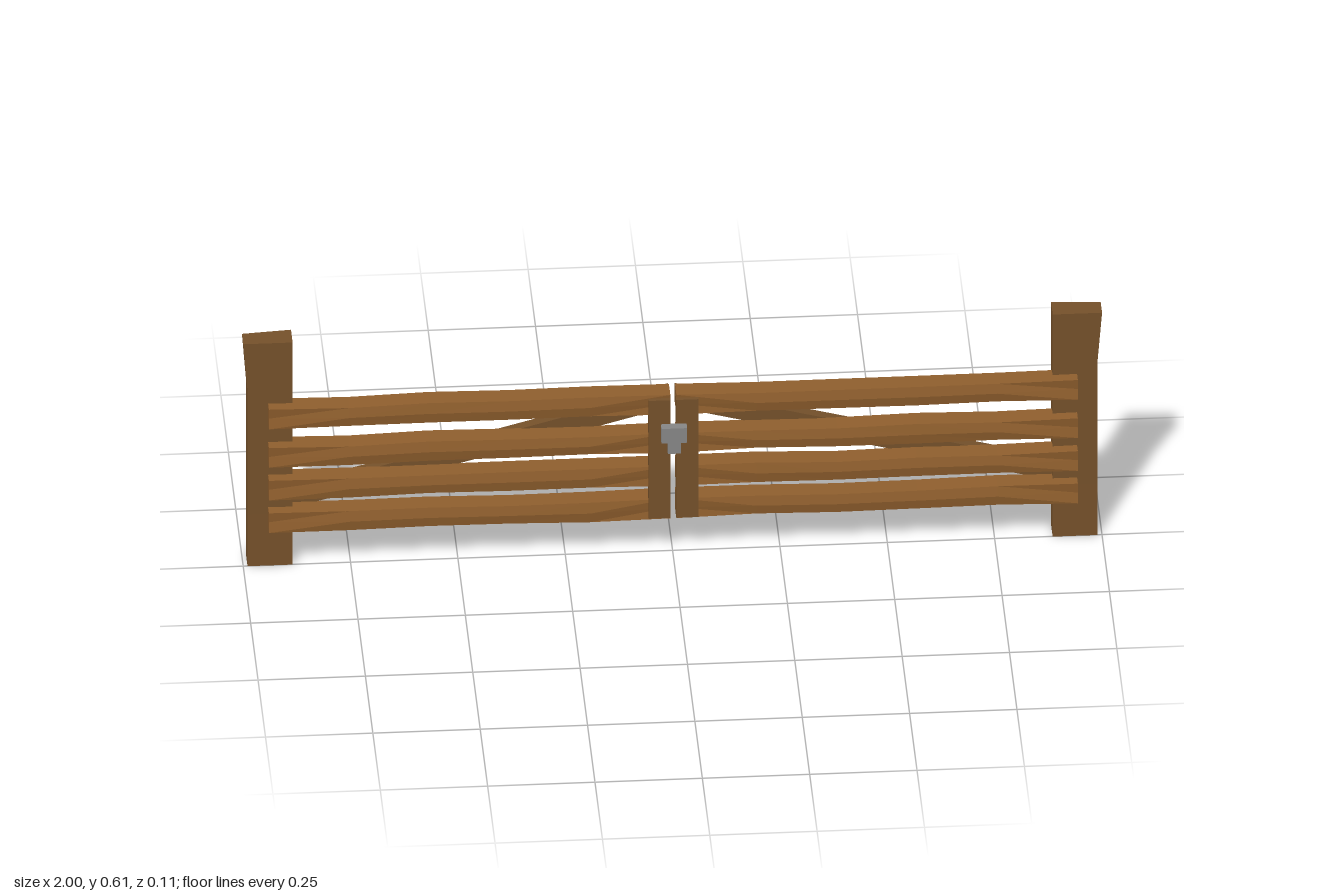
import * as THREE from 'three';

const darkWood = new THREE.MeshStandardMaterial({ color: 0x74502a, flatShading: true });
const lightWood = new THREE.MeshStandardMaterial({ color: 0x8e5e2d, flatShading: true });
const metal = new THREE.MeshStandardMaterial({ color: 0x858585, flatShading: true });

// Small seeded generator in -1..1 for hand-hewn irregularity
let seed = 7;
const wobble = () => {
  seed = (seed * 16807) % 2147483647;
  return (seed / 2147483647) * 2 - 1;
};

// Solid through equal-length rings of [x, y, z], with capped ends
function loft(name, rings, material) {
  const tris = [];
  const n = rings[0].length;
  for (let s = 0; s < rings.length - 1; s++) {
    for (let i = 0; i < n; i++) {
      const j = (i + 1) % n;
      const [a, b, c, d] = [rings[s][i], rings[s][j], rings[s + 1][j], rings[s + 1][i]];
      tris.push([a, b, c], [a, c, d]);
    }
  }
  const centre = ring => [0, 1, 2].map(k => ring.reduce((sum, p) => sum + p[k], 0) / n);
  const first = rings[0], last = rings[rings.length - 1];
  const c0 = centre(first), c1 = centre(last);
  for (let i = 0; i < n; i++) {
    const j = (i + 1) % n;
    tris.push([c0, first[j], first[i]], [c1, last[i], last[j]]);
  }
  // Turn the faces outwards whichever way the rings run
  const vec = p => new THREE.Vector3(...p);
  const volume = tris.reduce((v, [a, b, c]) => v + vec(a).dot(vec(b).cross(vec(c))), 0);
  if (volume < 0) tris.forEach(t => t.reverse());
  const geometry = new THREE.BufferGeometry();
  geometry.setAttribute('position', new THREE.Float32BufferAttribute(tris.flat(2), 3));
  geometry.computeVertexNormals();
  const mesh = new THREE.Mesh(geometry, material);
  mesh.name = name;
  return mesh;
}

function box(name, x0, x1, y0, y1, z0, z1, material) {
  const mesh = new THREE.Mesh(new THREE.BoxGeometry(x1 - x0, y1 - y0, z1 - z0), material);
  mesh.position.set((x0 + x1) / 2, (y0 + y1) / 2, (z0 + z1) / 2);
  mesh.name = name;
  return mesh;
}

// Post: y, outer x, front z, outer back z, inner back z
function post(side) {
  const levels = [
    [0, 0.99, 0.001, -0.056, -0.054],
    [0.14, 0.99, 0, -0.05, -0.05],
    [0.48, 0.99, 0, -0.05, -0.05],
    [0.61, 1.0, 0.003, -0.043, -0.053],
  ];
  const rings = levels.map(([y, x, front, outerBack, innerBack]) => [
    [side * 0.885, y, front], [side * x, y, front],
    [side * x, y, outerBack], [side * 0.885, y, innerBack],
  ]);
  return loft('post', rings, darkWood);
}

// Rail: uneven beam, hollowed at its ends and ridged in its middle
function rail(side, y) {
  const rings = [];
  const steps = 5;
  for (let i = 0; i <= steps; i++) {
    const t = i / steps;
    const x = side * (0.007 + t * 0.935);
    const end = i === 0 || i === steps;
    const lift = end ? 0 : wobble() * 0.003;
    const half = end ? 0.027 : 0.025 + wobble() * 0.002;
    const ridge = end ? -0.004 : 0.005;
    rings.push([
      [x, y + lift + half, 0.027], [x, y + lift, 0.027 + ridge], [x, y + lift - half, 0.027],
      [x, y + lift - half, -0.022], [x, y + lift, -0.022 - ridge * 0.5], [x, y + lift + half, -0.022],
    ]);
  }
  return loft('rail', rings, lightWood);
}

// Diagonal brace with upright cut ends
function brace(side) {
  const ring = (x, y) => [
    [side * x, y + 0.025, -0.02], [side * x, y - 0.025, -0.02],
    [side * x, y - 0.025, -0.046], [side * x, y + 0.025, -0.046],
  ];
  return loft('brace', [ring(0.008, 0.405), ring(0.9, 0.163)], darkWood);
}

export function createModel() {
  const model = new THREE.Group();
  model.name = 'gate';
  for (const side of [-1, 1]) {
    model.add(post(side));
    const leaf = new THREE.Group();
    leaf.name = side > 0 ? 'leftLeaf' : 'rightLeaf';
    for (const y of [0.132, 0.221, 0.311, 0.416]) leaf.add(rail(side, y));
    leaf.add(brace(side));
    const [x0, x1] = side > 0 ? [0.006, 0.058] : [-0.058, -0.008];
    leaf.add(box('batten', x0, x1, 0.112, 0.435, 0.01, 0.037, darkWood));
    model.add(leaf);
  }
  // Latch across the meeting battens
  const latch = new THREE.Group();
  latch.name = 'latch';
  latch.add(
    box('latchPlate', -0.03, 0.03, 0.33, 0.37, 0.036, 0.058, metal),
    box('latchTongue', -0.015, 0.015, 0.301, 0.33, 0.042, 0.058, metal),
  );
  model.add(latch);
  return model;
}
